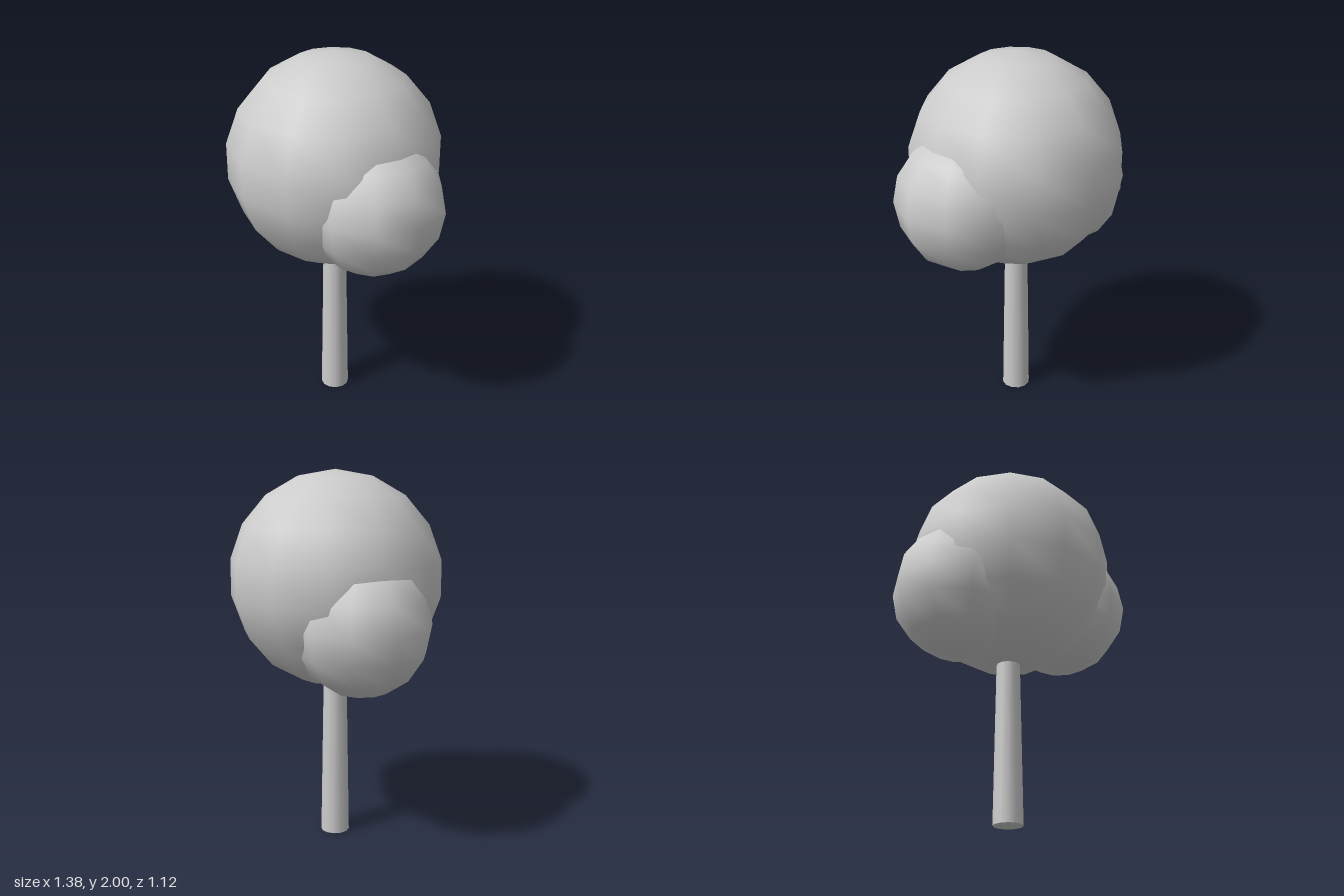
import * as THREE from 'three';

export function createModel() {
  const tree = new THREE.Group();
  tree.name = 'tree';
  const material = new THREE.MeshStandardMaterial({ color: 0xcccccc });

  const addPart = (name, geometry, x, y) => {
    const mesh = new THREE.Mesh(geometry, material);
    mesh.name = name;
    mesh.position.set(x, y, 0);
    tree.add(mesh);
  };

  // Tapered trunk, its top hidden inside the crown
  const trunkHeight = 1;
  addPart('trunk', new THREE.CylinderGeometry(0.061, 0.078, trunkHeight, 12), -0.02, trunkHeight / 2);

  // Large crown with a smaller foliage ball on each side
  addPart('crown', new THREE.SphereGeometry(0.571, 12, 9), -0.02, 1.43);
  addPart('leftFoliage', new THREE.SphereGeometry(0.371, 10, 8), 0.32, 1.29);
  addPart('rightFoliage', new THREE.SphereGeometry(0.371, 10, 8), -0.322, 1.225);

  return tree;
}
